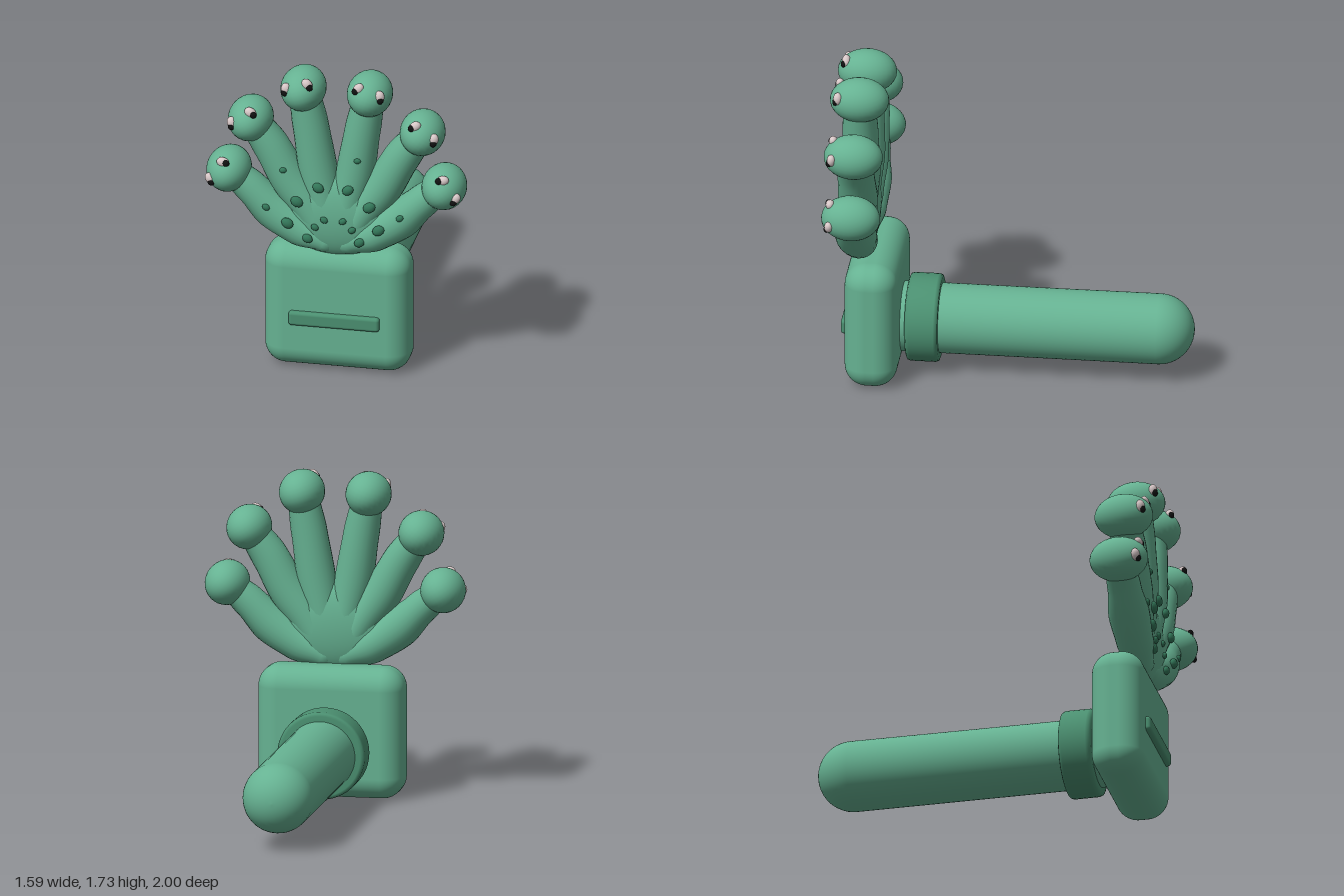
import * as THREE from 'three';
import { RoundedBoxGeometry } from 'three/addons/geometries/RoundedBoxGeometry.js';

const mat = (color) => new THREE.MeshStandardMaterial({ color });
const green = mat(0x66b292), darkGreen = mat(0x4b9071), wartGreen = mat(0x34785a);
const white = mat(0xd8c8c8), black = mat(0x111111);

function add(parent, name, geometry, material, x = 0, y = 0, z = 0) {
  const mesh = new THREE.Mesh(geometry, material);
  mesh.name = name;
  mesh.position.set(x, y, z);
  parent.add(mesh);
  return mesh;
}

function ellipsoid(parent, name, material, pos, scale, detail = 32) {
  const mesh = add(parent, name, new THREE.SphereGeometry(1, detail, detail / 2), material, ...pos);
  mesh.scale.set(...scale);
  return mesh;
}

// Tube whose radius follows a list of values along its path
function taperedTube(points, radii) {
  const segments = 36, sides = 24;
  const curve = new THREE.CatmullRomCurve3(points.map((p) => new THREE.Vector3(...p)));
  const geometry = new THREE.TubeGeometry(curve, segments, 1, sides);
  const pos = geometry.attributes.position, v = new THREE.Vector3();
  for (let i = 0; i <= segments; i++) {
    const t = i / segments, f = t * (radii.length - 1);
    const k = Math.min(Math.floor(f), radii.length - 2);
    const r = THREE.MathUtils.lerp(radii[k], radii[k + 1], THREE.MathUtils.smoothstep(f - k, 0, 1));
    const c = curve.getPointAt(t);
    for (let j = 0; j <= sides; j++) {
      const n = i * (sides + 1) + j;
      v.fromBufferAttribute(pos, n).sub(c).multiplyScalar(r).add(c);
      pos.setXYZ(n, v.x, v.y, v.z);
    }
  }
  return geometry;
}

// Round profile [radius, z] turned about the z axis
function turned(profile) {
  const geometry = new THREE.LatheGeometry(profile.map(([r, z]) => new THREE.Vector2(r, z)), 48);
  return geometry.rotateX(Math.PI / 2);
}

// Ball-shaped finger tip with two eyes
function makeHead(u, y, tilt) {
  const head = new THREE.Group();
  head.name = 'fingerHead';
  head.position.set(u, y, 0);
  head.rotation.z = tilt;
  ellipsoid(head, 'headBall', green, [0, 0, 0], [0.121, 0.118, 0.157]);
  for (const s of [-1, 1]) {
    const eye = ellipsoid(head, 'eyeWhite', white, [s * 0.06, 0.054, 0.108], [0.027, 0.035, 0.024], 16);
    eye.rotation.z = s * 0.3;
    ellipsoid(head, 'pupil', black, [s * 0.07, 0.04, 0.12], [0.019, 0.02, 0.016], 16);
  }
  return head;
}

export function createModel() {
  const root = new THREE.Group();
  root.name = 'fingeredHammer';
  const body = new THREE.Group();
  body.name = 'body';
  body.rotation.y = 0.494;
  root.add(body);
  const cx = -0.143;

  // Block with a raised bar on its face
  add(body, 'block', new RoundedBoxGeometry(0.786, 0.705, 0.28, 8, 0.118), green, cx, 0.354, 0.502);
  add(body, 'bar', new RoundedBoxGeometry(0.49, 0.08, 0.07, 4, 0.018), darkGreen, cx, 0.306, 0.634);

  // Handle with a rounded end, and the collar joining it to the block
  const handle = [];
  for (let i = 0; i <= 12; i++) {
    const a = (i / 12) * Math.PI / 2;
    handle.push([0.188 * Math.sin(a), -0.997 - 0.188 * Math.cos(a)]);
  }
  handle.push([0.187, -0.3], [0.187, 0.45]);
  add(body, 'handle', turned(handle), green, cx, 0.275, 0);
  add(body, 'collar', turned([[0.17, 0.16], [0.215, 0.16], [0.229, 0.165], [0.235, 0.18],
    [0.235, 0.31], [0.229, 0.327], [0.21, 0.335], [0.17, 0.335]]), darkGreen, cx, 0.275, 0);

  // Hand: squashed palm and three mirrored pairs of fingers
  const hand = new THREE.Group();
  hand.name = 'hand';
  hand.position.set(cx, 0, 0.575);
  body.add(hand);
  ellipsoid(hand, 'palm', green, [0, 0.905, 0], [0.32, 0.24, 0.09], 48);

  const fingers = [
    { path: [[0.06, 0.745], [0.2, 0.805], [0.35, 0.91], [0.48, 1.03], [0.58, 1.112]],
      radii: [0.07, 0.1, 0.11, 0.09, 0.072], tilt: 0.98 },
    { path: [[0.04, 0.75], [0.14, 0.92], [0.255, 1.09], [0.36, 1.275], [0.463, 1.415]],
      radii: [0.06, 0.09, 0.105, 0.098, 0.08], tilt: 0.59 },
    { path: [[0.025, 0.755], [0.055, 0.92], [0.1, 1.15], [0.14, 1.4], [0.179, 1.615]],
      radii: [0.06, 0.085, 0.103, 0.096, 0.082], tilt: 0.3 },
  ];
  for (const side of [-1, 1]) {
    for (const { path, radii, tilt } of fingers) {
      const points = path.map(([u, y]) => [side * u, y, 0]);
      add(hand, 'finger', taperedTube(points, radii), green);
      ellipsoid(hand, 'fingerRoot', green, points[0], [radii[0], radii[0], radii[0]], 20);
      const [u, y] = points[4];
      hand.add(makeHead(u, y, -side * tilt));
    }
    // Warts on the front of the palm: [u, y, z, size]
    const warts = [[0.08, 1.085, 0.1, 0.033], [0.195, 0.995, 0.1, 0.036], [0.245, 0.868, 0.105, 0.035],
      [0.14, 0.782, 0.09, 0.03], [0.36, 0.95, 0.105, 0.022], [0.05, 0.897, 0.092, 0.022],
      [0.1, 0.85, 0.09, 0.022]];
    for (const [u, y, z, s] of warts) {
      const wart = ellipsoid(hand, 'wart', wartGreen, [side * u, y, z], [s, s * 0.8, s * 0.6], 12);
      wart.rotation.z = side * 0.6;
    }
  }
  ellipsoid(hand, 'wart', wartGreen, [-0.27, 1.17, 0.098], [0.02, 0.016, 0.014], 12);
  ellipsoid(hand, 'wart', wartGreen, [0.13, 1.26, 0.096], [0.02, 0.016, 0.014], 12);
  return root;
}
